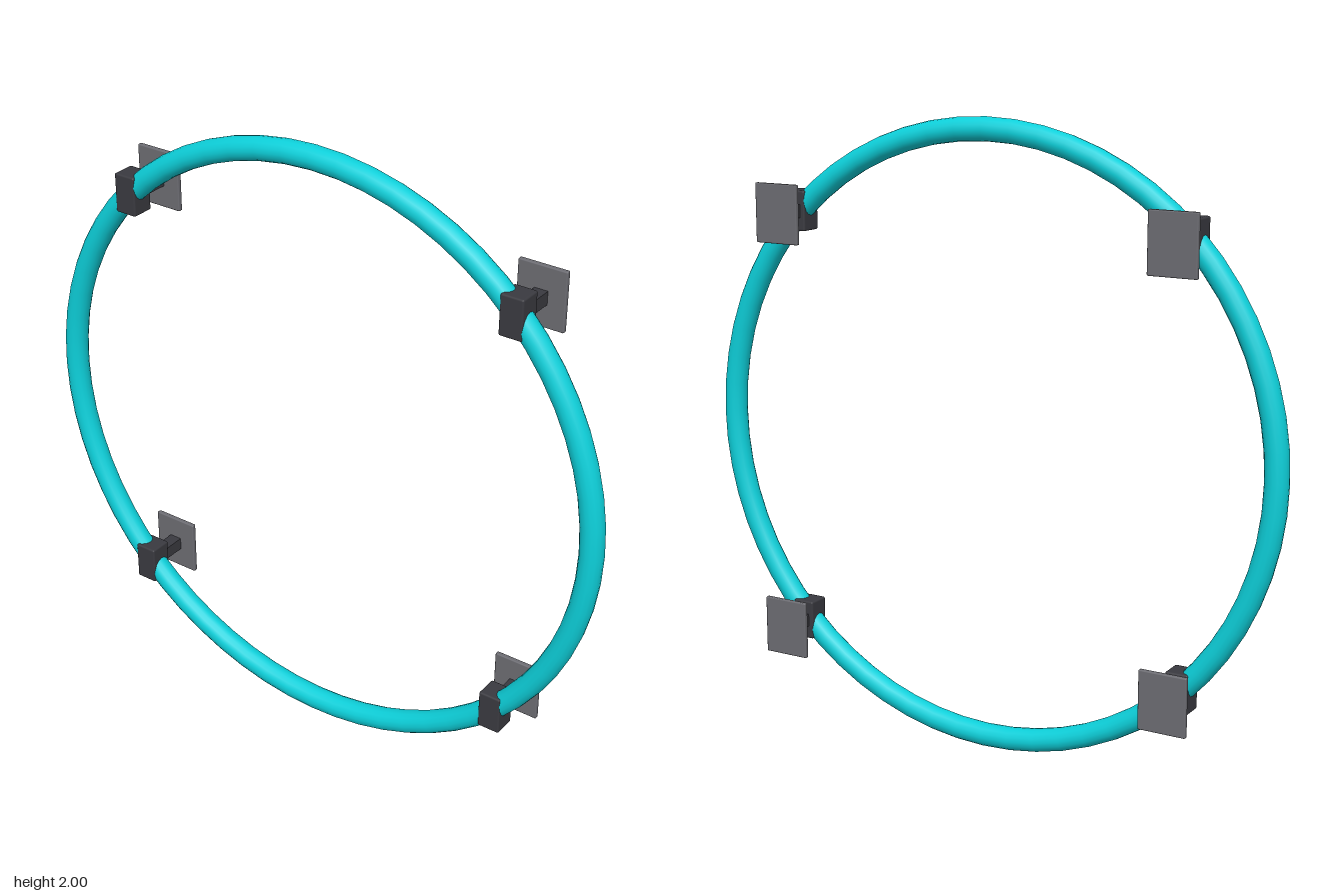
import * as THREE from 'three';
import { RoundedBoxGeometry } from 'three/addons/geometries/RoundedBoxGeometry.js';

export function createModel() {
  const model = new THREE.Group();
  model.name = 'wallMountedRing';

  const material = (name, color) => {
    const m = new THREE.MeshStandardMaterial({ color });
    m.name = name;
    return m;
  };
  const turquoise = material('turquoise', 0x0dd0da);
  const darkGrey = material('dark grey', 0x3a3a40);
  const midGrey = material('mid grey', 0x6c6c72);

  const tubeRadius = 0.037;
  const ringRadius = 1 - tubeRadius;
  const ringZ = 0.05;

  const add = (parent, name, geometry, mat, x, y, z) => {
    const mesh = new THREE.Mesh(geometry, mat);
    mesh.name = name;
    mesh.position.set(x, y, z);
    parent.add(mesh);
  };

  // Round tube ring
  add(model, 'ring', new THREE.TorusGeometry(ringRadius, tubeRadius, 16, 64), turquoise, 0, 1, ringZ);

  // Four brackets: clamp around the tube, stem behind it, wall plate at the back
  const clamp = new RoundedBoxGeometry(0.075, 0.128, 0.076, 2, 0.006);
  const stem = new THREE.BoxGeometry(0.043, 0.042, 0.1);
  const plate = new RoundedBoxGeometry(0.156, 0.188, 0.016, 2, 0.004);
  const offset = ringRadius * Math.SQRT1_2;
  for (const [sy, row] of [[1, 'upper'], [-1, 'lower']]) {
    for (const [sx, side] of [[1, 'Left'], [-1, 'Right']]) {
      const bracket = new THREE.Group();
      bracket.name = `${row}${side}Bracket`;
      bracket.position.set(sx * offset, 1 + sy * offset, 0);
      add(bracket, 'clamp', clamp, darkGrey, 0, 0, ringZ);
      add(bracket, 'stem', stem, darkGrey, 0, 0, -0.026);
      add(bracket, 'wallPlate', plate, midGrey, 0, 0, -0.08);
      model.add(bracket);
    }
  }
  return model;
}
